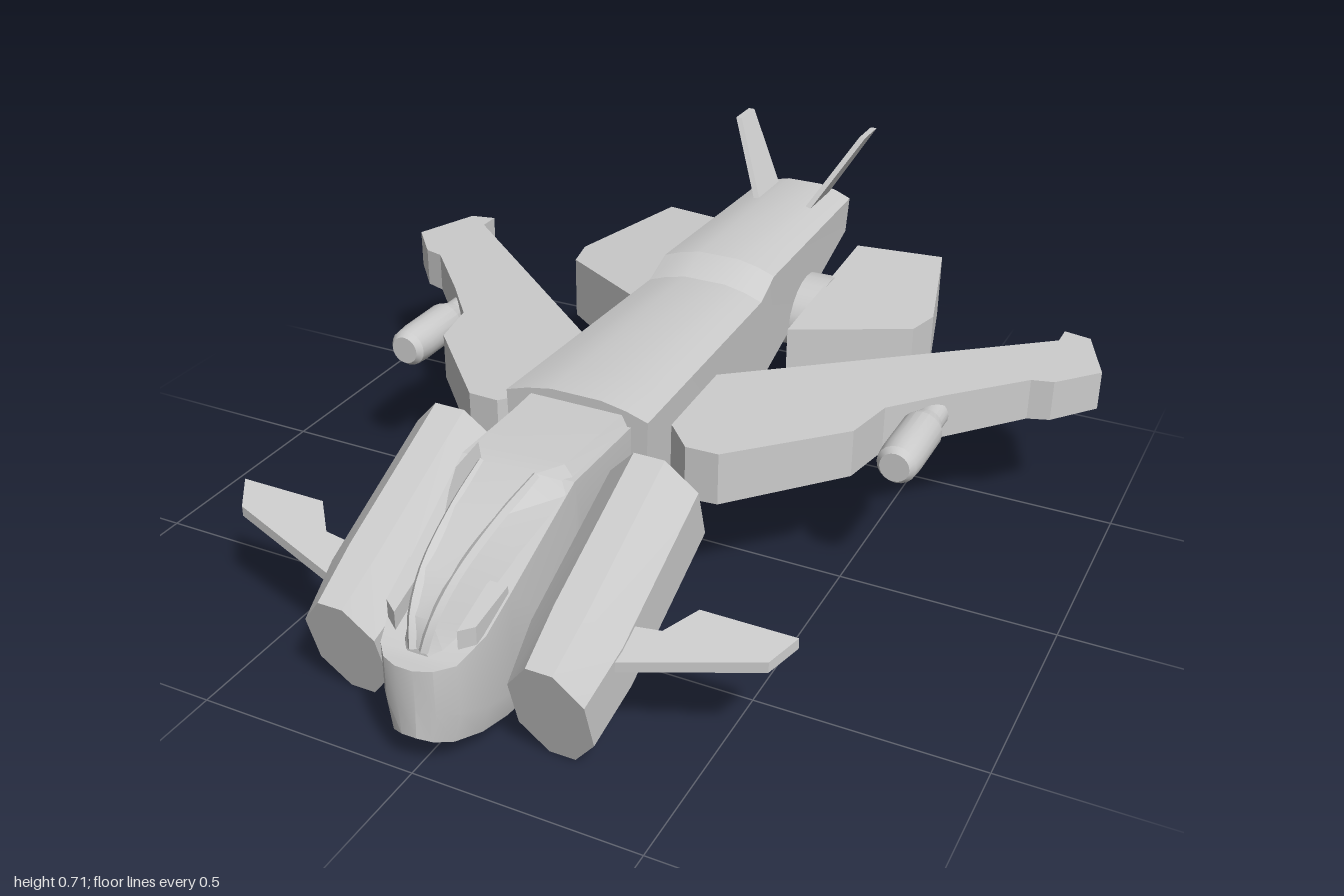
import * as THREE from 'three';
import { toCreasedNormals } from 'three/addons/utils/BufferGeometryUtils.js';

const material = new THREE.MeshStandardMaterial({ color: 0xcccccc });

// Skin over closed rings of equal count, with flat end caps.
function loft(rings) {
  const n = rings[0].length, index = [], last = (rings.length - 1) * n;
  for (let i = 0; i < rings.length - 1; i++) {
    for (let j = 0; j < n; j++) {
      const a = i * n + j, b = i * n + (j + 1) % n;
      index.push(a, a + n, b, b, a + n, b + n);
    }
  }
  for (let j = 1; j < n - 1; j++) {
    index.push(0, j, j + 1, last, last + j + 1, last + j);
  }
  const g = new THREE.BufferGeometry();
  g.setAttribute('position', new THREE.Float32BufferAttribute(rings.flat(2), 3));
  g.setIndex(index);
  return g.toNonIndexed();
}

// Symmetric ring at z from a half profile listed bottom to top.
function ring(half, z) {
  const right = half.map(([x, y]) => [x, y, z]);
  const left = half.map(([x, y]) => [-x, y, z]).reverse();
  return [...right, ...left];
}

// Plan outline of [x, z] points, given height by bottom and top rules.
function slab(outline, bottom, top) {
  const shape = new THREE.Shape(outline.map(([x, z]) => new THREE.Vector2(x, -z)));
  const g = new THREE.ExtrudeGeometry(shape, { depth: 1, bevelEnabled: false });
  g.rotateX(-Math.PI / 2);
  const p = g.attributes.position;
  for (let i = 0; i < p.count; i++) {
    const x = p.getX(i), z = p.getZ(i);
    p.setY(i, THREE.MathUtils.lerp(bottom(x, z), top(x, z), p.getY(i)));
  }
  return g;
}

// Mirror across x = 0 and restore the winding.
function mirrored(geometry) {
  const g = geometry.index ? geometry.toNonIndexed() : geometry.clone();
  g.scale(-1, 1, 1);
  const p = g.attributes.position, a = new THREE.Vector3(), b = new THREE.Vector3();
  for (let i = 0; i < p.count; i += 3) {
    a.fromBufferAttribute(p, i + 1);
    b.fromBufferAttribute(p, i + 2);
    p.setXYZ(i + 1, b.x, b.y, b.z);
    p.setXYZ(i + 2, a.x, a.y, a.z);
  }
  return g;
}

export function createModel() {
  const model = new THREE.Group();
  model.name = 'spacecraft';
  const add = (name, g, crease = 0.45) => {
    const mesh = new THREE.Mesh(toCreasedNormals(g, crease), material);
    mesh.name = name;
    model.add(mesh);
  };
  const addPair = (name, g, crease) => {
    add(name + 'Left', g, crease);
    add(name + 'Right', mirrored(g), crease);
  };

  // Main fuselage: arched top, wedge underside. [z, half width, top, bottom]
  const hull = [
    [0.32, 0.17, 0.505, 0.15], [0.2, 0.166, 0.505, 0.055], [-0.33, 0.148, 0.505, 0.205],
    [-0.41, 0.146, 0.54, 0.228], [-0.97, 0.13, 0.54, 0.385],
  ];
  add('fuselage', loft(hull.map(([z, w, t, b]) => ring([
    [w * 0.65, b], [w * 0.95, b + 0.03], [w, t - 0.03], [w * 0.7, t - 0.014], [w * 0.35, t - 0.003],
  ], z))), 0.25);

  // Rounded nose and chin. [z, half width, top, bottom]
  const nose = [
    [1, 0.02, 0.25, 0.09], [0.985, 0.055, 0.25, 0.08], [0.95, 0.085, 0.25, 0.065],
    [0.88, 0.108, 0.28, 0.045], [0.8, 0.117, 0.33, 0.03], [0.565, 0.13, 0.455, 0.012],
    [0.505, 0.13, 0.455, 0.15], [0.3, 0.13, 0.455, 0.2],
  ];
  add('nose', loft(nose.map(([z, w, t, b]) => ring([[w * 0.82, b], [w, b + 0.07], [w, t]], z))));

  // Canopy running back into the spine. [z, base half width, top half width, base, top]
  const canopy = [
    [0.95, 0.03, 0.012, 0.24, 0.265], [0.93, 0.045, 0.022, 0.25, 0.32],
    [0.865, 0.07, 0.035, 0.28, 0.385], [0.73, 0.095, 0.05, 0.36, 0.443],
    [0.6, 0.125, 0.062, 0.44, 0.475], [0.55, 0.128, 0.1, 0.44, 0.48], [0.3, 0.13, 0.11, 0.44, 0.48],
  ];
  add('canopy', loft(canopy.map(([z, bw, tw, b, t]) => ring([[bw, b], [tw, t]], z))));

  // Canopy frame rails and cheek blocks
  const railPath = new THREE.CatmullRomCurve3(canopy.slice(0, 5).map(([z, , tw, , t]) => new THREE.Vector3(tw, t - 0.006, z)));
  addPair('canopyRail', new THREE.TubeGeometry(railPath, 14, 0.011, 4));
  addPair('cheekBlock', slab([[0.07, 0.8], [0.112, 0.8], [0.1, 0.9], [0.07, 0.92]],
    () => 0.24, (x, z) => 0.305 + (0.92 - z) * 0.35));

  // Front nacelles: tilted eight-sided hulls. [centre y, centre z, width scale]
  const section = [[0.035, -1], [0.1, -0.45], [0.1, 0.45], [0.035, 1],
    [-0.035, 1], [-0.1, 0.45], [-0.1, -0.45], [-0.035, -1]];
  const stations = [[0.127, 0.865, 0.83], [0.19, 0.74, 1], [0.35, 0.405, 1]];
  addPair('nacelle', loft(stations.map(([y, z, s]) => section.map(([u, v]) =>
    [0.235 + u * s, y + v * 0.128, z + v * 0.04]))), 0.2);

  // Small canards on the nacelles
  const canardY = z => 0.215 + (0.79 - z) * 0.45;
  addPair('canard', slab(
    [[0.31, 0.79], [0.61, 0.7], [0.645, 0.64], [0.44, 0.64], [0.39, 0.7], [0.31, 0.71]],
    (x, z) => canardY(z) - 0.012, (x, z) => canardY(z) + 0.012));

  // Swept wings with raked tips
  addPair('wing', slab([
    [0.1, 0.14], [0.17, 0.2], [0.23, 0.265], [0.305, 0.26], [0.52, 0.03], [0.545, -0.1],
    [0.645, -0.22], [0.795, -0.385], [0.845, -0.4], [0.93, -0.5], [0.865, -0.66],
    [0.8, -0.67], [0.8, -0.615], [0.16, -0.065], [0.1, -0.02],
  ], x => 0.275 + 0.022 * x, x => 0.412 - 0.024 * x));

  // Wing gun pods
  const gun = new THREE.LatheGeometry([
    [0, 0.05], [0.034, 0.05], [0.045, 0.035], [0.048, 0], [0.048, -0.13],
    [0.034, -0.17], [0.034, -0.22], [0.025, -0.235], [0, -0.235],
  ].reverse().map(([r, z]) => new THREE.Vector2(r, z)), 20);
  gun.rotateX(Math.PI / 2).translate(0.622, 0.345, 0);
  addPair('gunPod', gun);

  // Rear engine pods and the cross tube that carries them
  addPair('enginePod', slab([
    [0.206, -0.36], [0.466, -0.53], [0.487, -0.62], [0.397, -0.97], [0.18, -0.915],
  ], x => 0.2 + 0.06 * x, x => 0.415 - 0.06 * x));
  const tube = new THREE.CylinderGeometry(0.115, 0.115, 0.4, 20);
  tube.rotateZ(Math.PI / 2).scale(1, 0.8, 1).translate(0, 0.315, -0.665);
  add('crossTube', tube);

  // Canted tail fins
  const finRing = (x, y, front, back) => [
    [x + 0.008, y, front], [x + 0.008, y, back], [x - 0.008, y, back], [x - 0.008, y, front],
  ];
  addPair('tailFin', loft([finRing(0.174, 0.705, -0.915, -1), finRing(0.067, 0.52, -0.805, -0.943)]));

  return model;
}
